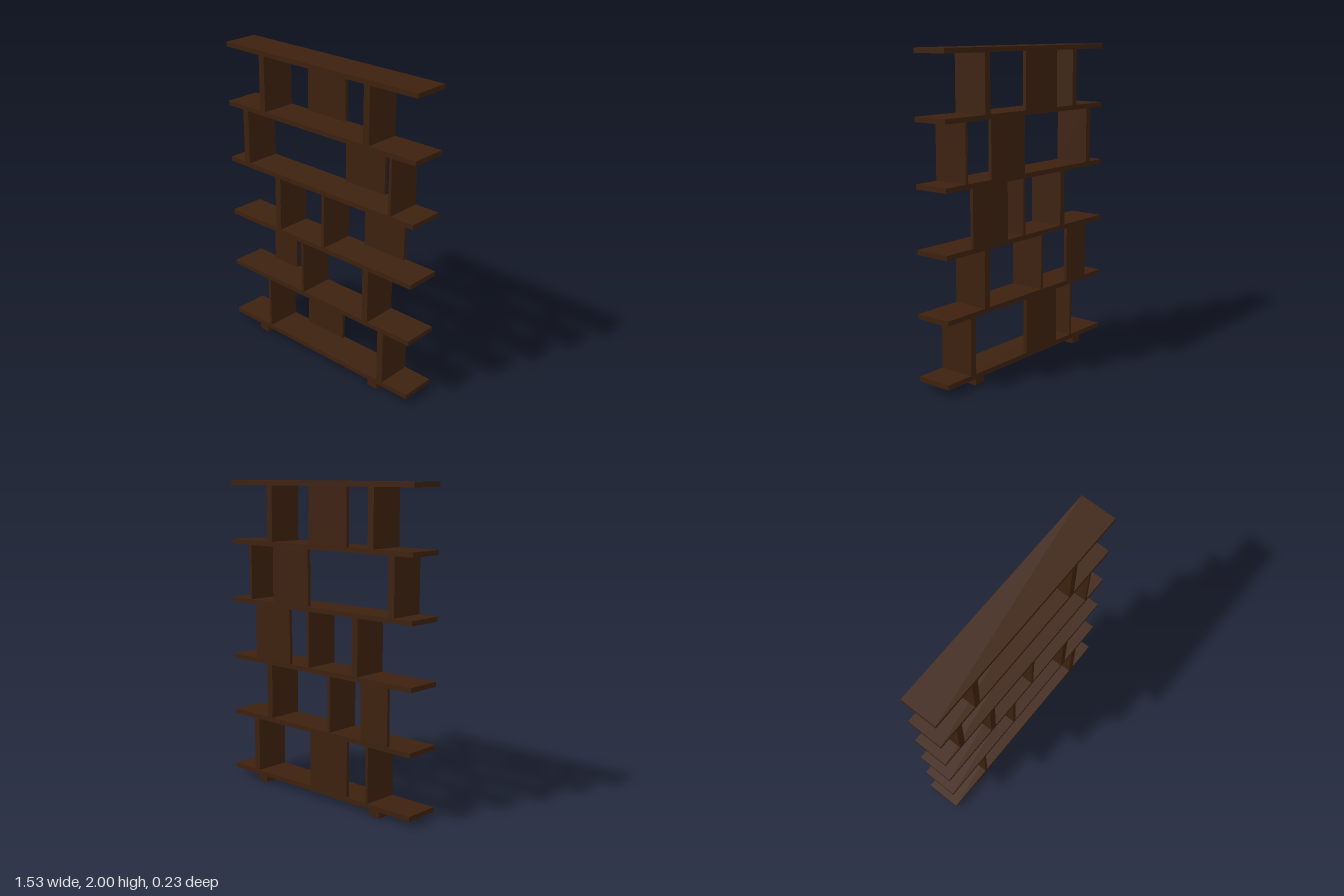
import * as THREE from 'three';

const HALF_W = 0.765, DEPTH = 0.234, BOARD = 0.03, FOOT = 0.04;
const PITCH = (2 - FOOT - BOARD) / 5; // shelf to shelf spacing
const PANEL = 0.022; // back panel thickness

export function createModel() {
  const group = new THREE.Group();
  group.name = 'openBookcase';
  const wood = new THREE.MeshStandardMaterial({ color: 0x3d210e });
  wood.name = 'dark walnut';

  // Box given by its x, y and z ranges
  const board = (name, x0, x1, y0, y1, z0 = -DEPTH / 2, z1 = DEPTH / 2) => {
    const mesh = new THREE.Mesh(new THREE.BoxGeometry(x1 - x0, y1 - y0, z1 - z0), wood);
    mesh.position.set((x0 + x1) / 2, (y0 + y1) / 2, (z0 + z1) / 2);
    mesh.name = name;
    group.add(mesh);
  };

  // Feet
  board('rightFoot', -0.534, -0.46, 0, FOOT);
  board('leftFoot', 0.455, 0.529, 0, FOOT);

  // Six shelves
  for (let i = 0; i < 6; i++) {
    const y = FOOT + i * PITCH;
    board(`shelf${i + 1}`, -HALF_W, HALF_W, y, y + BOARD);
  }

  // Upright dividers and back panels, bottom tier first, as x ranges
  const tiers = [
    { dividers: [[-0.442, -0.423], [0.524, 0.569]], panel: [-0.27, 0.043] },
    { dividers: [[-0.127, -0.108], [0.394, 0.439]], panel: [-0.59, -0.381] },
    { dividers: [[-0.352, -0.307], [0.055, 0.074]], panel: [0.226, 0.54] },
    { dividers: [[-0.632, -0.587], [0.579, 0.598]], panel: [0.062, 0.376] },
    { dividers: [[-0.472, -0.428], [0.382, 0.427]], panel: [-0.26, 0.053] },
  ];
  tiers.forEach(({ dividers, panel }, i) => {
    const y0 = FOOT + BOARD + i * PITCH, y1 = FOOT + (i + 1) * PITCH;
    dividers.forEach(([a, b], k) => board(`divider${i + 1}_${k + 1}`, a, b, y0, y1));
    board(`backPanel${i + 1}`, panel[0], panel[1], y0, y1, -DEPTH / 2, -DEPTH / 2 + PANEL);
  });
  return group;
}
